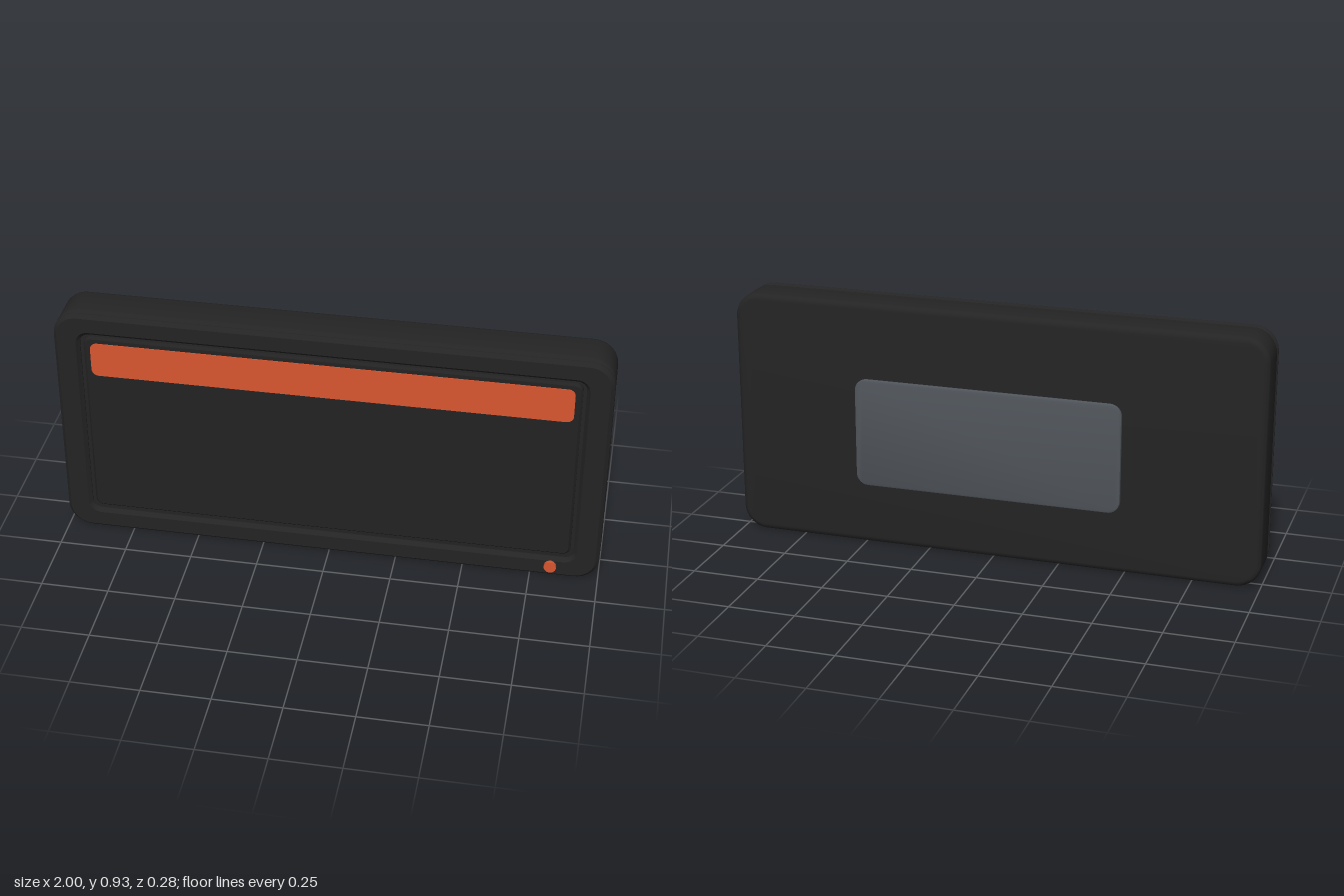
import * as THREE from 'three';
import { toCreasedNormals } from 'three/addons/utils/BufferGeometryUtils.js';

const mat = (name, color) => {
  const m = new THREE.MeshStandardMaterial({ color });
  m.name = name;
  return m;
};

// Rounded rectangle centred on the origin
function outline(w, h, r, Type = THREE.Shape) {
  const p = new Type(), x = w / 2, y = h / 2, q = Math.PI / 2;
  p.absarc(x - r, y - r, r, 0, q, false);
  p.absarc(-x + r, y - r, r, q, 2 * q, false);
  p.absarc(-x + r, -y + r, r, 2 * q, 3 * q, false);
  p.absarc(x - r, -y + r, r, 3 * q, 4 * q, false);
  p.closePath();
  return p;
}

// Slab between z0 and z1 with edges bevelled inwards and an optional opening
function slab(w, h, r, z0, z1, bevel, segments = 1, hole = null) {
  const shape = outline(w, h, r);
  if (hole) shape.holes.push(hole);
  const geo = new THREE.ExtrudeGeometry(shape, {
    depth: z1 - z0 - 2 * bevel, curveSegments: 4,
    bevelEnabled: bevel > 0, bevelThickness: bevel, bevelSize: bevel,
    bevelOffset: -bevel, bevelSegments: segments,
  });
  geo.translate(0, 0, z0 + bevel);
  return toCreasedNormals(geo, 0.6);
}

export function createModel() {
  const model = new THREE.Group();
  const black = mat('black casing', 0x242424);
  const dark = mat('dark screen', 0x222222);
  const orange = mat('orange accent', 0xd9552f);
  const grey = mat('grey mount', 0x50555b);

  const add = (name, geo, material, x, y, z = 0) => {
    const mesh = new THREE.Mesh(geo, material);
    mesh.name = name;
    mesh.position.set(x, y, z);
    model.add(mesh);
    return mesh;
  };
  const midY = 0.467;

  // Casing and front frame, separated by a shallow groove
  add('casing', slab(2, 0.934, 0.09, -0.052, 0.1, 0.02, 3), black, 0, midY);
  add('bezel', slab(2, 0.934, 0.09, 0.099, 0.129, 0.013, 1,
    outline(1.81, 0.77, 0.035, THREE.Path)), black, 0, midY);

  // Screen set into the frame, with its header band
  add('screen', slab(1.785, 0.745, 0.03, 0.095, 0.122, 0.008), dark, 0, midY + 0.003);
  add('headerBand', slab(1.735, 0.135, 0.025, 0.12, 0.125, 0), orange, 0, 0.752);

  // Button in the lower corner
  const disc = (r, depth) => new THREE.CylinderGeometry(r, r, depth, 12).rotateX(Math.PI / 2);
  add('button', disc(0.023, 0.02), orange, 0.824, 0.048, 0.132);

  // Rear mount: plate, two standoffs and four screws
  add('mountPlate', slab(1, 0.41, 0.045, -0.138, -0.12, 0.006, 2), grey, 0, 0.468);
  for (const x of [-1, 1]) {
    add('standoff', slab(0.092, 0.212, 0.02, -0.12, -0.05, 0.018, 2), grey, x * 0.333, 0.469);
    for (const y of [-1, 1]) {
      add('screw', disc(0.026, 0.014), grey, x * 0.395, 0.468 + y * 0.135, -0.115);
    }
  }
  return model;
}
